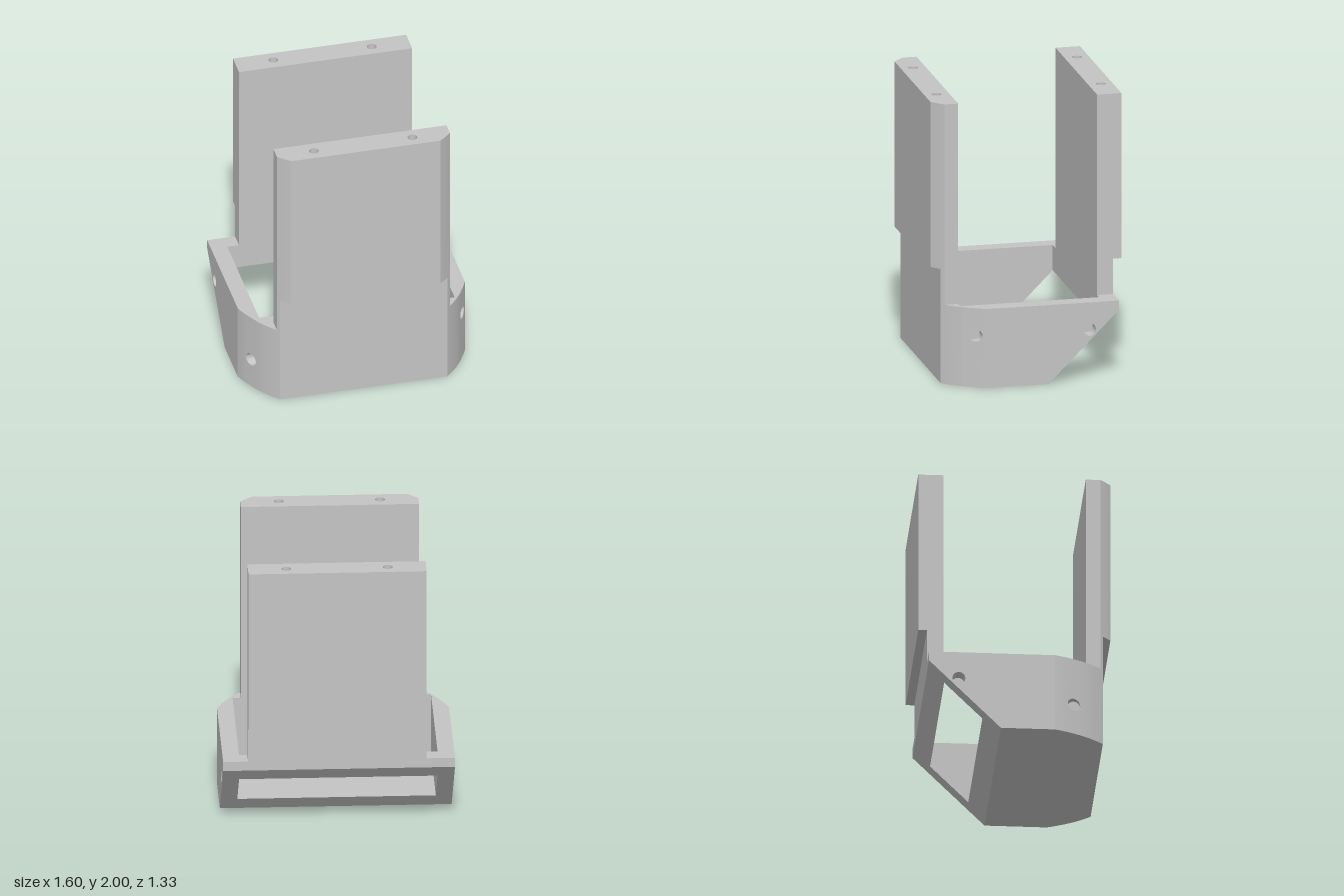
import * as THREE from 'three';
import { mergeGeometries, toCreasedNormals } from 'three/addons/utils/BufferGeometryUtils.js';

const RADIUS = 0.852, CENTRE_X = 0.011;     // rounded front corners share one circle
const RIM = 0.565, STEP = 0.818, TOP = 2;   // heights of the base rim, tower step and tower top
const INNER = 0.685, FRONT_IN = 0.491, BACK_IN = -0.494, BACK_OUT = -0.607;
const X_MIN = -0.602, X_MAX = 0.628;        // tower width

const arcX = (z) => Math.sqrt(RADIUS * RADIUS - z * z);
const arcZ = (x) => Math.sqrt(RADIUS * RADIUS - (x - CENTRE_X) ** 2);

// Counter-clockwise outline with clockwise round holes
function makeShape(points, holes = []) {
  const outline = points.map(([a, b]) => new THREE.Vector2(a, b));
  if (THREE.ShapeUtils.isClockWise(outline)) outline.reverse();
  const shape = new THREE.Shape(outline);
  for (const [a, b, r] of holes) {
    shape.holes.push(new THREE.Path().absarc(a, b, r, 0, Math.PI * 2, true));
  }
  return shape;
}

const extrude = (shape, depth) =>
  new THREE.ExtrudeGeometry(shape, { depth, bevelEnabled: false, curveSegments: 12 });

// Plan outline [x, z] raised from y0 to y1
function raise(plan, y0, y1, holes = []) {
  const shape = makeShape(plan.map(([x, z]) => [x, -z]), holes.map(([x, z, r]) => [x, -z, r]));
  return extrude(shape, y1 - y0).rotateX(-Math.PI / 2).translate(0, y0, 0);
}

// Side profile [z, y] stretched across the cavity
function across(profile) {
  return extrude(makeShape(profile.map(([z, y]) => [-z, y])), INNER * 2)
    .rotateY(Math.PI / 2).translate(-INNER, 0, 0);
}

// One layer (t0..t1 of the thickness) of a side wall piece, its outer face following the body outline
function sideLayer(side, profile, holes, t0, t1) {
  const geometry = extrude(
    makeShape(profile.map(([z, y]) => [-side * z, y]), holes.map(([z, y, r]) => [-side * z, y, r])), t1 - t0);
  const p = geometry.attributes.position;
  const zs = profile.map(([z]) => z);
  const za = Math.min(...zs), zb = Math.max(...zs);
  const outer = (z) => Math.min(0.8, arcX(Math.max(z, 0)) + side * CENTRE_X);
  for (let i = 0; i < p.count; i++) {
    const z = -side * p.getX(i);
    const face = THREE.MathUtils.lerp(outer(za), outer(zb), (z - za) / (zb - za));
    p.setXYZ(i, side * THREE.MathUtils.lerp(INNER, face, t0 + p.getZ(i)), p.getY(i), z);
  }
  return geometry;
}

// Blind holes: drilled outer layer over a solid inner one
const sidePanel = (side, profile, holes) => [
  sideLayer(side, profile, [], 0, 0.15),
  sideLayer(side, profile, holes, 0.15, 1),
];

// Front block plan: straight face at zFront, arcs at both corners, clipped to xMin..xMax
function frontPlan(zFront, xMin, xMax) {
  const half = arcX(zFront);
  const arc = (xa, xb) => Array.from({ length: 7 }, (_, i) => {
    const x = THREE.MathUtils.lerp(xa, xb, i / 6);
    return [x, arcZ(x)];
  });
  return [[xMin, FRONT_IN], ...arc(xMin, CENTRE_X - half), ...arc(CENTRE_X + half, xMax), [xMax, FRONT_IN]];
}

const backPlan = (zBack) => [[X_MIN, BACK_IN], [X_MAX, BACK_IN], [X_MAX, zBack], [X_MIN, zBack]];

export function createModel() {
  const group = new THREE.Group();
  const grey = new THREE.MeshStandardMaterial({ color: 0xc4c4c4 });
  grey.name = 'grey';

  const add = (name, parts) => {
    const mesh = new THREE.Mesh(toCreasedNormals(mergeGeometries(parts), 0.3), grey);
    mesh.name = name;
    group.add(mesh);
  };

  // Side walls with screw holes; the rear is cut off by a 45 degree slope
  for (const side of [1, -1]) {
    const bend = side > 0 ? 0.32 : 0.264;
    const parts = sidePanel(side,
      [[BACK_OUT, 0.497], [BACK_OUT, RIM], [bend, RIM], [bend, 0], [-0.11, 0]],
      [[-0.4, 0.37, 0.045]]);
    const breaks = side > 0 ? [bend, 0.352, 0.448, FRONT_IN] : [bend, 0.308, 0.352, 0.448, FRONT_IN];
    for (let i = 0; i < breaks.length - 1; i++) {
      const a = breaks[i], b = breaks[i + 1];
      const holes = a === 0.352 ? [[0.4, side > 0 ? 0.37 : 0.22, 0.045]] : [];
      parts.push(...sidePanel(side, [[a, 0], [a, RIM], [b, RIM], [b, 0]], holes));
    }
    add(side > 0 ? 'leftWall' : 'rightWall', parts);
  }

  // Floor and the back beam, leaving a slot in the slope between them
  add('floor', [across([[-0.11, 0], [-0.23, 0.12], [FRONT_IN, 0.12], [FRONT_IN, 0]])]);
  add('backBeam', [across([[BACK_IN, 0.384], [BACK_IN, RIM], [BACK_OUT, RIM], [BACK_OUT, 0.497]])]);

  // Front wall of the base
  add('frontWall', [raise(frontPlan(0.61, CENTRE_X - arcX(FRONT_IN), CENTRE_X + arcX(FRONT_IN)), 0, RIM)]);

  // Towers: recessed foot, thicker plate, and screw holes sunk into the top
  const towers = [
    ['frontTower', frontPlan(0.61, X_MIN, X_MAX), frontPlan(0.667, X_MIN, X_MAX), 0.58],
    ['backTower', backPlan(BACK_OUT), backPlan(-0.667), -0.583],
  ];
  for (const [name, foot, plate, holeZ] of towers) {
    const holes = [-0.337, 0.363].map((x) => [x, holeZ, 0.034]);
    add(name, [raise(foot, RIM, STEP), raise(plate, STEP, 1.7), raise(plate, 1.7, TOP, holes)]);
  }
  return group;
}
